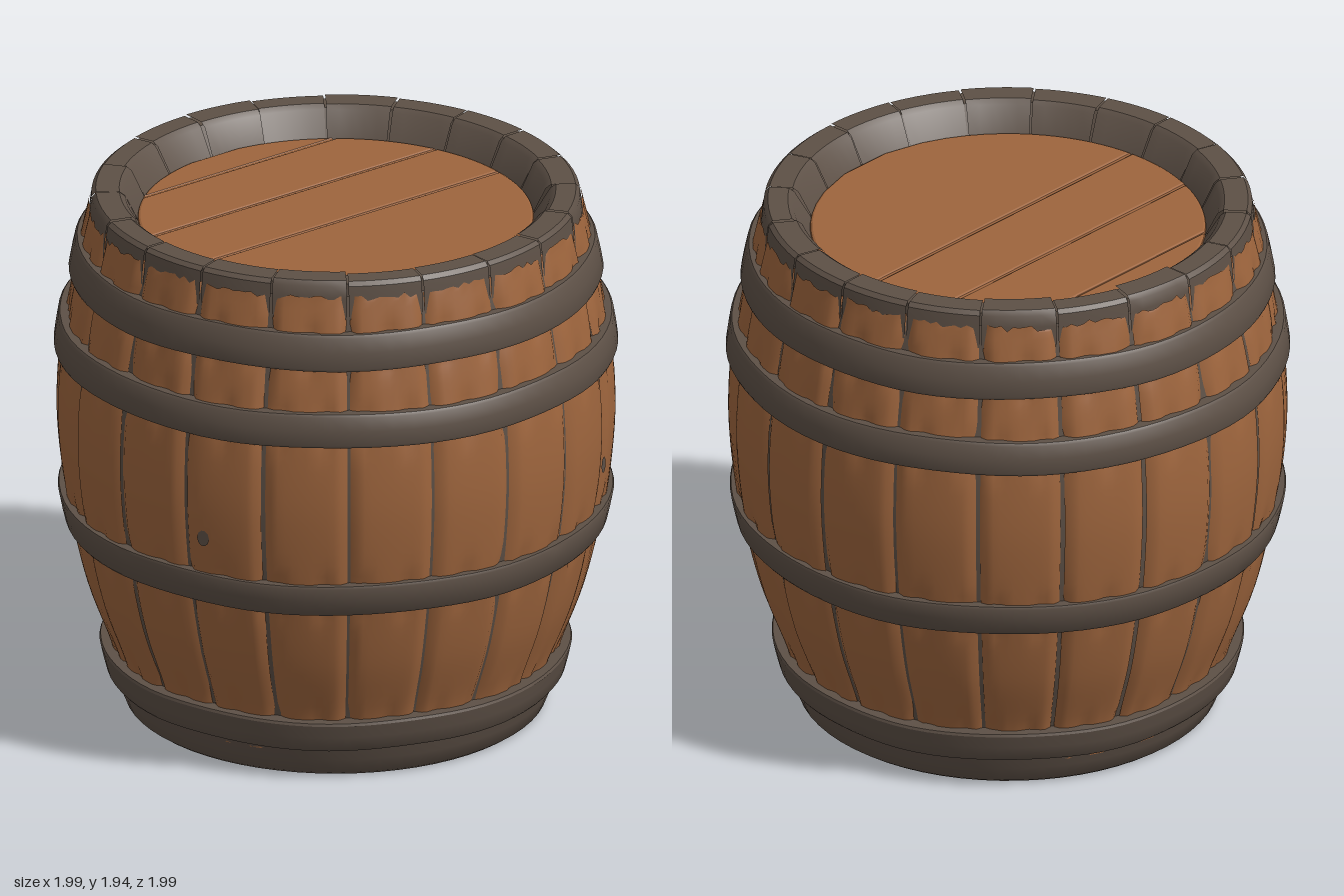
import * as THREE from 'three';
import { toCreasedNormals } from 'three/addons/utils/BufferGeometryUtils.js';

const STAVES = 20;
const STEP = (Math.PI * 2) / STAVES;

const wood = new THREE.MeshStandardMaterial({ color: 0x9e653d });
wood.name = 'warm wood';
const dark = new THREE.MeshStandardMaterial({ color: 0x5d5046 });
dark.name = 'dark iron';

// Bulging side of the barrel as (radius, height)
const V = (x, y) => new THREE.Vector2(x, y);
const side = new THREE.SplineCurve([
  V(0.775, 0.1), V(0.8, 0.24), V(0.88, 0.46), V(0.935, 0.68), V(0.968, 0.86), V(0.988, 1.1),
  V(0.978, 1.34), V(0.953, 1.48), V(0.928, 1.62), V(0.902, 1.76), V(0.874, 1.88),
]);

// Hoops: bottom y, top y, bottom radius, top radius
const HOOPS = [
  [0.12, 0.235, 0.81, 0.838],
  [0.7, 0.82, 0.96, 0.986],
  [1.355, 1.475, 1.0, 0.982],
  [1.63, 1.76, 0.948, 0.922],
];

// Seeded random numbers
let seed = 7;
const rand = () => {
  seed = (seed * 16807) % 2147483647;
  return seed / 2147483647;
};

function mesh(name, geometry, material) {
  const m = new THREE.Mesh(geometry, material);
  m.name = name;
  return m;
}

function lathe(points, segments = 64, start = 0, length = Math.PI * 2) {
  const g = new THREE.LatheGeometry(points.map(([r, y]) => V(r, y)), segments, start, length);
  return toCreasedNormals(g, 0.6);
}

// One curved stave with sunken edges, worn dents beside the hoops and a ragged top
function stave(i) {
  const g = new THREE.PlaneGeometry(1, 1, 12, 48);
  const p = g.attributes.position;
  const gap = rand() < 0.25 ? 0.02 : 0.011;
  const offset = (rand() - 0.5) * 0.006;
  const phase = rand() * 6;
  for (let k = 0; k < p.count; k++) {
    const u = p.getX(k);
    const v = p.getY(k) + 0.5;
    const s = side.getPoint(v);
    const theta = (i + 0.5 + u) * STEP - u * gap;
    const edge = Math.abs(2 * u);
    let r = s.x + offset - 0.018 * edge ** 10;
    for (const [y0, y1] of HOOPS) {
      const d = Math.max(y0 - s.y, s.y - y1, 0);
      r -= 0.012 * Math.exp(-d * 30) * Math.max(0, Math.sin(u * 11 + phase + y0 * 9));
    }
    const y = v > 0.999 ? s.y + (rand() - 0.5) * 0.025 : s.y;
    p.setXYZ(k, Math.sin(theta) * r, y, Math.cos(theta) * r);
  }
  g.computeVertexNormals();
  return g;
}

// Iron hoop with softened edges and a slightly hammered face
function hoop([y0, y1, r0, r1]) {
  const at = (t, inset) => [r0 + (r1 - r0) * t - inset, y0 + (y1 - y0) * t];
  const g = new THREE.LatheGeometry(
    [at(0, 0.07), at(0, 0.006), at(0.08, 0), at(0.5, -0.001), at(0.92, 0), at(1, 0.006), at(1, 0.07)]
      .map(([r, y]) => V(r, y)), 80);
  const p = g.attributes.position;
  for (let k = 0; k < p.count; k++) {
    const a = Math.atan2(p.getX(k), p.getZ(k));
    const dent = 1 - 0.0015 * (1 + Math.sin(a * 9 + y0 * 20) * Math.cos(a * 4));
    p.setXYZ(k, p.getX(k) * dent, p.getY(k) + 0.003 * Math.sin(a * 7 + y0 * 12), p.getZ(k) * dent);
  }
  return toCreasedNormals(g, 0.6);
}

// Board of a round head, cut by two parallel seams
function board(a, b, R) {
  const edge = [];
  for (let k = 0; k <= 16; k++) {
    const x = a + ((b - a) * k) / 16;
    edge.push(V(x, Math.sqrt(Math.max(R * R - x * x, 0.0001))));
  }
  const lower = edge.map((q) => V(q.x, -q.y));
  const g = new THREE.ExtrudeGeometry(new THREE.Shape([...lower, ...edge.reverse()]), {
    depth: 0.02, bevelThickness: 0.012, bevelSize: 0.01, bevelOffset: -0.01, bevelSegments: 2,
  });
  g.rotateX(-Math.PI / 2);
  return g;
}

// Round head made of boards over a dark backing
function head(name, seams, R, y) {
  const group = new THREE.Group();
  group.name = name;
  const cuts = [-R + 0.005, ...seams, R - 0.005];
  for (let k = 0; k < cuts.length - 1; k++) {
    const b = mesh('headBoard', board(cuts[k] + 0.003, cuts[k + 1] - 0.003, R), wood);
    b.position.y = -0.01;
    group.add(b);
  }
  group.add(mesh('headBacking', new THREE.CylinderGeometry(R + 0.04, R + 0.04, 0.02, 48), dark));
  group.position.y = y;
  group.rotation.y = -0.32;
  return group;
}

// Small dark knot lying on the staves
function knot(theta, y, r) {
  const m = mesh('knot', new THREE.CircleGeometry(0.024, 10), dark);
  m.position.set(Math.sin(theta) * r, y, Math.cos(theta) * r);
  m.rotation.y = theta;
  m.scale.y = 1.25;
  return m;
}

export function createModel() {
  const barrel = new THREE.Group();
  barrel.name = 'barrel';

  // Dark core seen through the seams
  const core = side.getPoints(30).map((q) => [q.x - 0.02, q.y]);
  barrel.add(mesh('core', lathe(core), dark));

  // Staves and the rim blocks above them
  const staves = new THREE.Group();
  staves.name = 'staves';
  const rim = new THREE.Group();
  rim.name = 'topRim';
  for (let i = 0; i < STAVES; i++) {
    staves.add(mesh('stave', stave(i), wood));
    const top = 1.94 - rand() * 0.006;
    const inner = 0.75 + (rand() - 0.5) * 0.016;
    const profile = [[0.876, 1.8], [0.869, 1.88], [0.863, 1.922], [0.848, top], [inner + 0.02, top],
      [inner, top - 0.015], [0.695, 1.82]];
    rim.add(mesh('rimBlock', lathe(profile, 5, i * STEP + 0.004, STEP - 0.008), dark));
  }
  // Dark filling below the rim gaps
  rim.add(mesh('rimFill', lathe([[0.85, 1.8], [0.846, 1.925], [0.765, 1.925], [0.69, 1.8]]), dark));
  barrel.add(staves, rim);

  // Hoops
  for (const h of HOOPS) barrel.add(mesh('hoop', hoop(h), dark));

  // Foot: dark skirt, wooden bottom edge and dark inner wall
  barrel.add(mesh('skirt', lathe([[0.728, 0], [0.745, 0.012], [0.768, 0.07], [0.79, 0.14]]), dark));
  barrel.add(mesh('bottomEdge', lathe([[0.668, 0.05], [0.682, 0.008], [0.692, 0], [0.728, 0]]), wood));
  barrel.add(mesh('innerWall', lathe([[0.655, 0.13], [0.668, 0.05]]), dark));

  // Boarded heads
  barrel.add(head('topHead', [-0.55, -0.25, 0.05], 0.7, 1.815));
  barrel.add(head('bottomHead', [-0.4, -0.1, 0.15], 0.65, 0.1));

  // Knots
  barrel.add(knot(0.084, 0.96, 0.986), knot(1.85, 1.0, 0.99));
  return barrel;
}
